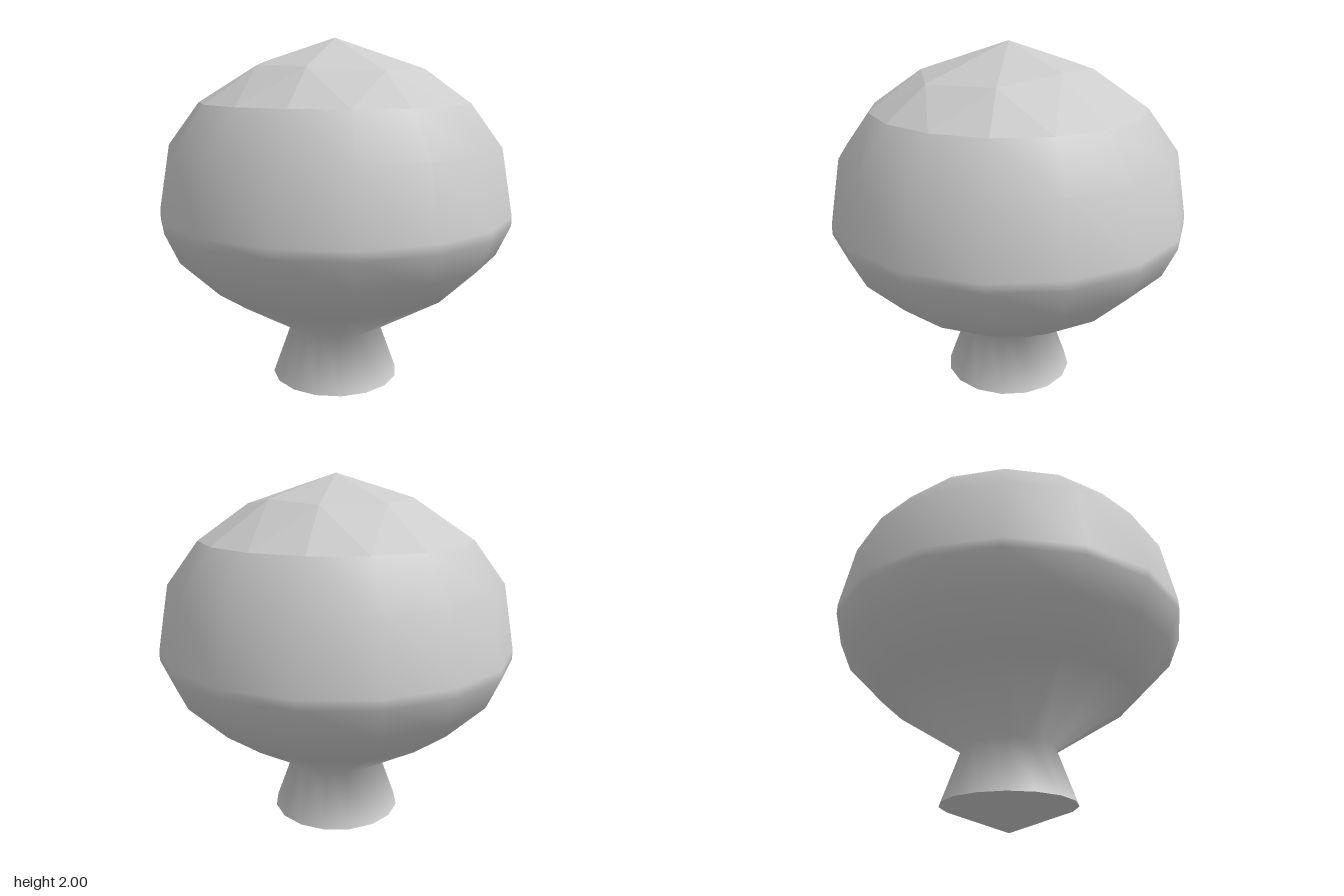
import * as THREE from 'three';

const SIDES = 16;
const STEP = (Math.PI * 2) / SIDES;

// Point on a ring; step 0 faces the front, steps turn towards +x
const ringPoint = (radius, y, step) =>
  new THREE.Vector3(radius * Math.sin(step * STEP), y, radius * Math.cos(step * STEP));

// Domed top: 16-sided rim, uneven 8-point inner ring, pointed apex
function crownGeometry(rimRadius, rimY, apexY) {
  const innerRadii = [0.46, 0.5, 0.48, 0.4, 0.43, 0.43, 0.4, 0.44];
  const inner = (k) => {
    const r = innerRadii[k % 8];
    return ringPoint(r, 1.88 - (r - 0.4) * 0.5, k * 2);
  };
  const rim = (step) => ringPoint(rimRadius, rimY, step);
  const apex = new THREE.Vector3(0, apexY, 0);
  const points = [];
  for (let k = 0; k < 8; k++) {
    const a = inner(k);
    const b = inner(k + 1);
    points.push(apex, a, b);
    points.push(a, rim(2 * k - 1), rim(2 * k));
    points.push(a, rim(2 * k), rim(2 * k + 1));
    points.push(a, rim(2 * k + 1), b);
  }
  const geometry = new THREE.BufferGeometry().setFromPoints(points);
  geometry.computeVertexNormals();
  return geometry;
}

export function createModel() {
  const group = new THREE.Group();
  group.name = 'knob';
  const smooth = new THREE.MeshStandardMaterial({ color: 0xcccccc });
  const flat = new THREE.MeshStandardMaterial({ color: 0xcccccc, flatShading: true });

  const add = (name, geometry, material) => {
    const mesh = new THREE.Mesh(geometry, material);
    mesh.name = name;
    group.add(mesh);
    return mesh;
  };

  // Smooth flared stem and round bulb in one turned surface
  const profile = [
    [0.355, 0.13], [0.25, 0.42], [0.68, 0.69], [0.88, 0.89],
    [0.95, 1.05], [0.95, 1.1], [0.885, 1.45], [0.72, 1.67],
  ].map(([r, y]) => new THREE.Vector2(r, y));
  add('stemAndBulb', new THREE.LatheGeometry(profile, SIDES), smooth);

  // Faceted dome closing the bulb
  add('crown', crownGeometry(0.72, 1.67, 2), flat);

  // Shallow pointed underside of the stem
  const base = new THREE.ConeGeometry(0.355, 0.13, SIDES, 1, true);
  base.rotateX(Math.PI);
  base.translate(0, 0.065, 0);
  add('basePoint', base, flat);

  return group;
}
